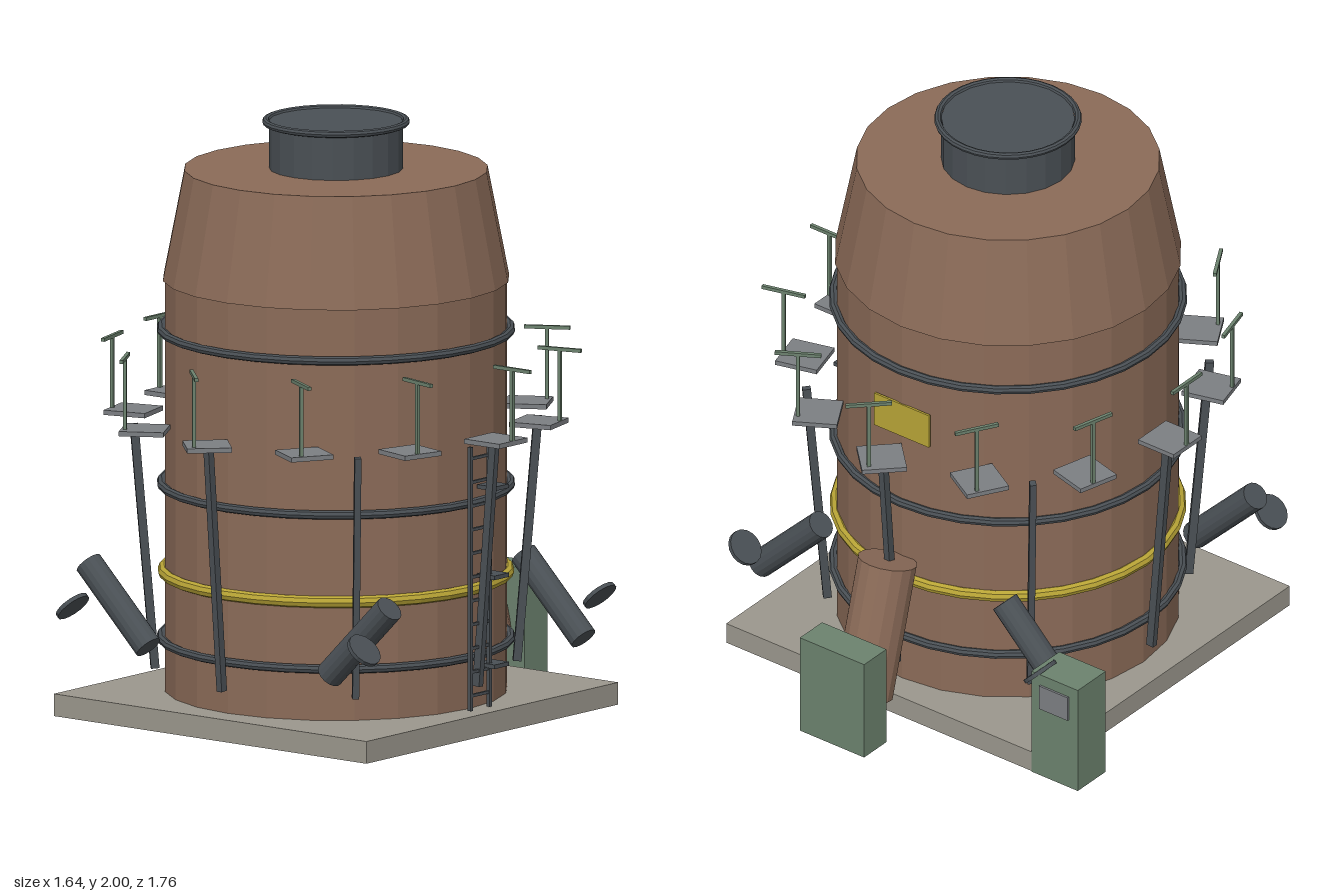
import * as THREE from 'three';

const CX = -0.008, CZ = 0.068; // vessel axis

function material(name, color) {
  const m = new THREE.MeshStandardMaterial({ color });
  m.name = name;
  m.flatShading = true;
  return m;
}

export function createModel() {
  const brown = material('rust brown', 0x8b6b58);
  const dark = material('dark steel', 0x4a5055);
  const grey = material('platform grey', 0x7c7f83);
  const green = material('cabinet green', 0x6c826e);
  const yellow = material('safety yellow', 0xb8a436);
  const concrete = material('concrete', 0x9b978d);

  const model = new THREE.Group();
  model.name = 'furnaceVessel';

  const add = (name, geometry, mat, x, y, z, parent = model) => {
    const mesh = new THREE.Mesh(geometry, mat);
    mesh.name = name;
    mesh.position.set(x, y, z);
    parent.add(mesh);
    return mesh;
  };
  const box = (name, w, h, d, mat, x, y, z, parent) =>
    add(name, new THREE.BoxGeometry(w, h, d), mat, x, y, z, parent);
  const cyl = (name, rTop, rBottom, h, sides, mat, x, y, z, parent) =>
    add(name, new THREE.CylinderGeometry(rTop, rBottom, h, sides), mat, x, y, z, parent);
  const ring = (name, radius, tube, mat, y) => {
    const mesh = add(name, new THREE.TorusGeometry(radius, tube, 8, 32), mat, CX, y, CZ);
    mesh.rotation.x = Math.PI / 2;
    return mesh;
  };

  // Slab and vessel
  box('baseSlab', 1.33, 0.075, 1.33, concrete, CX, 0.0375, CZ);
  cyl('vesselBody', 0.57, 0.57, 1.385, 24, brown, CX, 0.7675, CZ);
  cyl('vesselShoulder', 0.505, 0.577, 0.37, 24, brown, CX, 1.645, CZ);
  cyl('topNeck', 0.222, 0.222, 0.16, 20, dark, CX, 1.91, CZ);
  ring('neckRim', 0.233, 0.012, dark, 1.988);

  // Hoops
  for (const y of [0.25, 0.77, 1.29]) ring('steelHoop', 0.58, 0.015, dark, y);
  ring('yellowPipeRing', 0.572, 0.02, yellow, 0.475);

  // Twelve platforms with rails, each turned by half its angle around the vessel
  for (let i = 0; i < 12; i++) {
    const a = (i * Math.PI) / 6;
    const at = (r) => [CX + r * Math.cos(a), CZ - r * Math.sin(a)];
    const [px, pz] = at(0.68);
    const [rx, rz] = at(0.75);
    box('platform', 0.15, 0.016, 0.15, grey, px, 0.992, pz).rotation.y = a / 2;
    box('railPost', 0.012, 0.24, 0.012, green, rx, 1.12, rz).rotation.y = a / 2;
    box('railBar', 0.155, 0.012, 0.012, green, rx, 1.241, rz).rotation.y = a / 2;
  }

  // Eight leaning columns
  for (let i = 0; i < 8; i++) {
    const column = new THREE.Group();
    column.name = 'column';
    column.position.set(CX, 0, CZ);
    column.rotation.y = (i * Math.PI) / 4;
    const lean = Math.atan2(0.07, 0.825);
    box('columnBeam', 0.028, 0.828, 0.022, dark, 0.638, 0.568, 0, column).rotation.z = -lean;
    model.add(column);
  }

  // Ladder and its brackets
  const ladder = new THREE.Group();
  ladder.name = 'ladder';
  for (const z of [0.02, 0.12]) box('ladderRail', 0.014, 0.89, 0.012, dark, 0.605, 0.525, z, ladder);
  for (let i = 0; i < 11; i++) box('ladderRung', 0.01, 0.01, 0.1, dark, 0.605, 0.13 + i * 0.08, 0.07, ladder);
  model.add(ladder);
  for (const y of [0.22, 0.52, 0.82]) box('ladderBracket', 0.075, 0.014, 0.075, dark, 0.605, y, 0);

  // Slanted cylinders and discs at the four corners; the back pair tilts the other way
  for (const sx of [-1, 1]) {
    for (const sz of [-1, 1]) {
      const tilt = sz > 0 ? -sx * Math.PI / 4 : -sx * Math.PI * 0.75;
      cyl('cornerCylinder', 0.047, 0.047, 0.36, 16, dark, CX + sx * 0.513, 0.37, CZ + sz * 0.512).rotation.z = tilt;
      cyl('cornerDisc', 0.062, 0.062, 0.014, 16, dark, CX + sx * 0.62, 0.37, CZ + sz * 0.622).rotation.z = tilt;
    }
  }

  // Rear duct, cabinets and sign
  cyl('rearDuct', 0.1, 0.1, 0.475, 16, brown, CX, 0.35, -0.645).rotation.x = 0.275;
  box('rearCabinet', 0.27, 0.365, 0.12, green, CX, 0.188, -0.82);
  box('sideCabinet', 0.195, 0.395, 0.15, green, -0.725, 0.1975, -0.525);
  box('cabinetPanel', 0.12, 0.09, 0.009, grey, -0.725, 0.31, -0.603);
  box('rearSign', 0.23, 0.125, 0.008, yellow, CX, 1.09, -0.502);

  return model;
}
